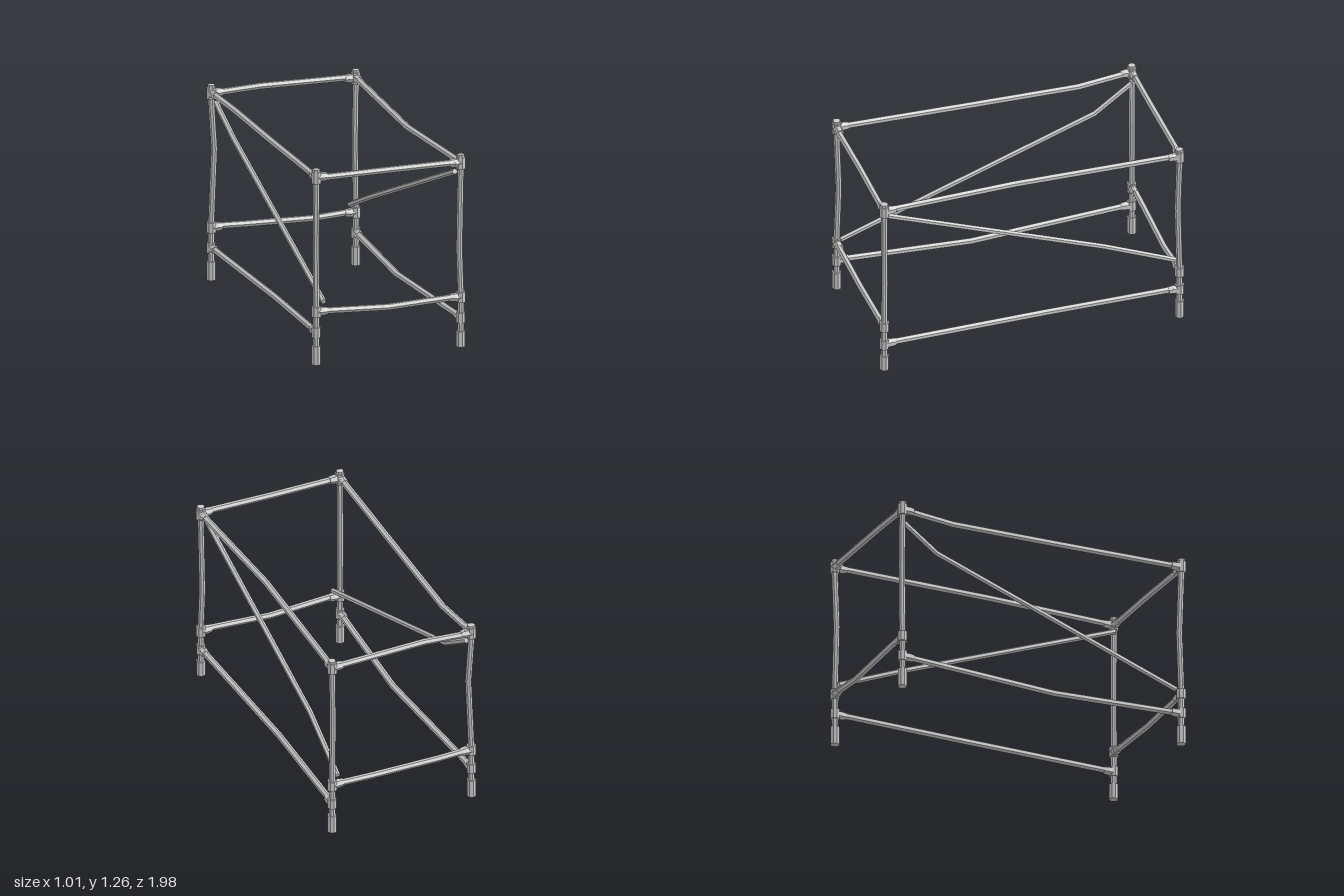
import * as THREE from 'three';

const material = new THREE.MeshStandardMaterial({ color: 0xcccccc, flatShading: true });
const X = 0.475, Z = 0.965;
const V = (a) => new THREE.Vector3(...a);

// Capped pole whose cross-sections follow a slightly bent list of points
function pole(name, points, radius, sides = 6, endRadius = radius) {
  const pts = points.map(V), n = pts.length - 1;
  const geo = new THREE.CylinderGeometry(endRadius, radius, 1, sides, n);
  const dir = pts[n].clone().sub(pts[0]).normalize();
  const q = new THREE.Quaternion().setFromUnitVectors(new THREE.Vector3(0, 1, 0), dir);
  const pos = geo.attributes.position, v = new THREE.Vector3();
  for (let i = 0; i < pos.count; i++) {
    v.fromBufferAttribute(pos, i);
    const ring = Math.round((v.y + 0.5) * n);
    v.y = 0;
    v.applyQuaternion(q).add(pts[ring]);
    pos.setXYZ(i, v.x, v.y, v.z);
  }
  geo.computeVertexNormals();
  const mesh = new THREE.Mesh(geo, material);
  mesh.name = name;
  return mesh;
}

// Corner post with foot, collars and beam sockets; bend lists [y, dx, dz]
function corner(name, sx, sz, bend, base) {
  const g = new THREE.Group();
  g.name = name;
  const up = (label, y0, y1, r) => g.add(pole(label, [[0, y0, 0], [0, y1, 0]], r, 8));
  const socket = (label, y, dx, dz) => {
    g.add(pole(label, [[0, y, 0], [dx * 0.045, y, dz * 0.045]], 0.029, 6));
    g.add(pole(label, [[dx * 0.04, y, dz * 0.04], [dx * 0.072, y, dz * 0.072]], 0.029, 6, 0.025));
  };
  g.add(pole('post', [[0, 0.1, 0], ...bend.map(([y, x, z]) => [x, y, z]), [0, 1.255, 0]], 0.021, 8));
  up('foot', base, 0.12, 0.03);
  up('lowerCollar', 0.175, 0.24, 0.03);
  up('middleCollar', 0.307, 0.372, 0.031);
  up('topCollar', 1.17, 1.243, 0.031);
  up('postCap', 1.24, 1.26, 0.024);
  socket('lowerSideSocket', 0.208, 0, -sz);
  socket('lowerEndSocket', 0.34, -sx, 0);
  socket('topSideSocket', 1.208, 0, -sz);
  socket('topEndSocket', 1.208, -sx, 0);
  g.position.set(sx * X, 0, sz * Z * 0.995);
  return g;
}

export function createModel() {
  const model = new THREE.Group();
  model.name = 'scaffoldFrame';

  // Four corner posts
  model.add(
    corner('frontLeftPost', 1, 1, [[0.37, 0, 0], [0.65, -0.008, -0.005], [1.15, 0, 0]], 0.02),
    corner('frontRightPost', -1, 1, [[0.37, 0, 0], [0.75, 0.003, -0.012], [1.15, 0, 0]], 0),
    corner('backLeftPost', 1, -1, [[0.37, 0, 0], [0.8, -0.008, 0.008], [1.15, 0, 0]], 0),
    corner('backRightPost', -1, -1, [[0.37, 0, 0], [0.85, 0.018, 0.005], [1.15, 0, 0]], 0),
  );

  // Long side rails, bowed inwards
  model.add(
    pole('topLeftRail', [[X, 1.21, Z], [0.432, 1.197, 0.1], [X, 1.21, -Z]], 0.021),
    pole('topRightRail', [[-X, 1.21, Z], [-0.461, 1.198, 0.1], [-0.447, 1.193, -0.6], [-X, 1.21, -Z]], 0.021),
    pole('lowerLeftRail', [[X, 0.21, Z], [0.437, 0.188, -0.1], [X, 0.21, -Z]], 0.021),
    pole('lowerRightRail', [[-X, 0.21, Z], [-0.437, 0.188, 0.1], [-X, 0.21, -Z]], 0.021),
  );

  // Short end rails
  model.add(
    pole('topFrontRail', [[-X, 1.205, Z], [0, 1.208, Z - 0.005], [X, 1.212, Z]], 0.021),
    pole('topBackRail', [[-X, 1.203, -Z], [-0.15, 1.22, -Z + 0.008], [X, 1.212, -Z]], 0.021),
    pole('lowerFrontRail', [[-X, 0.345, Z], [0, 0.322, Z - 0.005], [X, 0.345, Z]], 0.021),
    pole('lowerBackRail', [[-X, 0.345, -Z], [-0.25, 0.337, -Z], [0.2, 0.331, -Z + 0.01], [X, 0.345, -Z]], 0.021),
  );

  // Diagonal braces on the inner side of each long face
  model.add(
    pole('leftBrace', [[0.44, 1.15, 0.95], [0.406, 0.58, -0.49], [0.435, 0.395, -0.955]], 0.018),
    pole('rightBrace', [[-0.422, 0.395, 0.95], [-0.424, 0.985, -0.7], [-0.448, 1.145, -0.95]], 0.018),
  );
  return model;
}
